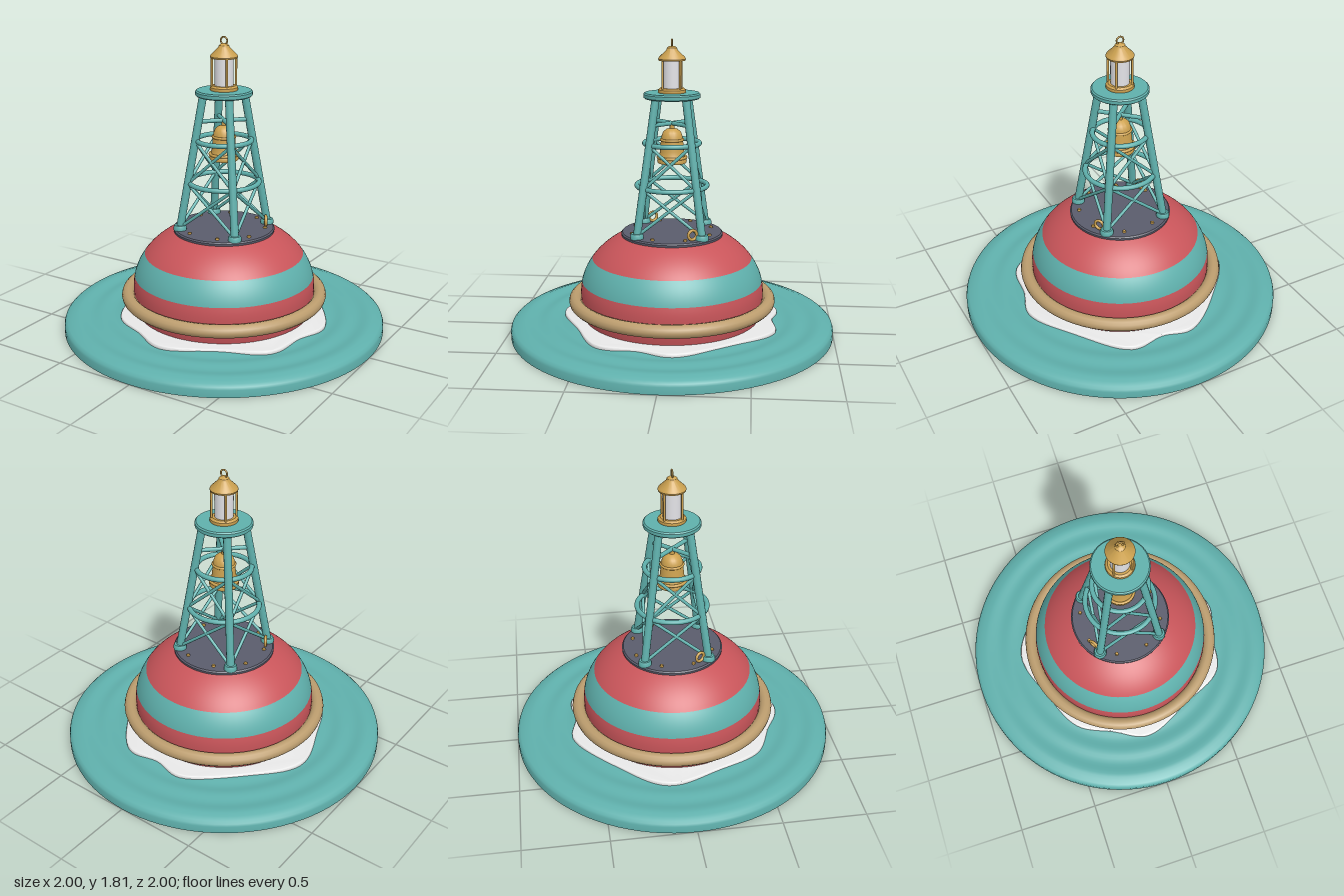
import * as THREE from 'three';
import { toCreasedNormals } from 'three/addons/utils/BufferGeometryUtils.js';

const mat = (name, color) => {
  const m = new THREE.MeshStandardMaterial({ color });
  m.name = name;
  return m;
};

export function createModel() {
  const teal = mat('teal', 0x5fb0ac);
  const red = mat('red', 0xc9555a);
  const slate = mat('slate', 0x5a5c6c);
  const brass = mat('brass', 0xcda250);
  const rope = mat('rope tan', 0xbc9d6e);
  const foam = mat('foam white', 0xeeeeee);
  const glass = mat('lamp glass', 0xe6e6ea);

  const model = new THREE.Group();
  model.name = 'bellBuoy';

  const add = (name, geo, material, x = 0, y = 0, z = 0, parent = model) => {
    const m = new THREE.Mesh(geo, material);
    m.name = name;
    m.position.set(x, y, z);
    parent.add(m);
    return m;
  };
  const lathe = (pts, seg = 48) => toCreasedNormals(
    new THREE.LatheGeometry(pts.map(p => new THREE.Vector2(p[0], p[1])), seg), 0.6);
  const ring = (name, r, tube, y, material, parent = model, seg = 64) => {
    const m = add(name, new THREE.TorusGeometry(r, tube, 12, seg), material, 0, y, 0, parent);
    m.rotation.x = Math.PI / 2;
    return m;
  };
  // Round bar between two points
  const bar = (name, a, b, r, material, parent) => {
    const d = b.clone().sub(a);
    const m = add(name, new THREE.CylinderGeometry(r, r, d.length(), 12), material, 0, 0, 0, parent);
    m.position.copy(a).add(b).multiplyScalar(0.5);
    m.quaternion.setFromUnitVectors(new THREE.Vector3(0, 1, 0), d.normalize());
    return m;
  };

  // Disc of water with soft ripples
  const water = [[0, 0], [1, 0], [1, 0.045], [0.995, 0.06], [0.98, 0.073], [0.95, 0.08]];
  for (let i = 1; i <= 24; i++) {
    const r = 0.95 - i * 0.02;
    water.push([r, 0.083 + 0.005 * Math.sin((0.95 - r) * 42)]);
  }
  water.push([0, 0.083]);
  add('water', lathe(water, 96), teal);

  // Irregular foam collar: [degrees, radius], with z following the angle
  const lobes = [[-5, 0.675], [14, 0.635], [35, 0.69], [62, 0.62], [92, 0.68], [112, 0.63], [134, 0.655],
    [160, 0.62], [190, 0.685], [222, 0.62], [257, 0.67], [274, 0.625], [292, 0.685], [325, 0.62]];
  const outline = new THREE.CatmullRomCurve3(lobes.map(([d, r]) => {
    const a = THREE.MathUtils.degToRad(d);
    return new THREE.Vector3(r * Math.cos(a), -r * Math.sin(a), 0);
  }), true);
  const foamShape = new THREE.Shape(outline.getPoints(112).slice(0, -1).map(p =>
    new THREE.Vector2(p.x, p.y).multiplyScalar(0.985)));
  foamShape.holes.push(new THREE.Path().absarc(0, 0, 0.5, 0, Math.PI * 2, true));
  const foamGeo = new THREE.ExtrudeGeometry(foamShape, {
    depth: 0.012, bevelThickness: 0.01, bevelSize: 0.01, bevelSegments: 3, curveSegments: 48 });
  foamGeo.rotateX(-Math.PI / 2);
  add('foam', toCreasedNormals(foamGeo, 0.7), foam, 0, 0.078, 0);

  // Banded domed hull
  const hull = new THREE.Group();
  hull.name = 'hull';
  model.add(hull);
  const hullRadius = y => y < 0.26 ? 0.565 - 0.02 * ((0.26 - y) / 0.16) ** 2
    : 0.565 * Math.sqrt(1 - ((y - 0.26) / 0.425) ** 2);
  const band = (name, y0, y1, material) => {
    const pts = [];
    for (let i = 0; i <= 12; i++) {
      const y = y0 + (y1 - y0) * i / 12;
      pts.push([hullRadius(y), y]);
    }
    add(name, lathe(pts, 72), material, 0, 0, 0, hull);
  };
  band('lowerBand', 0.07, 0.33, red);
  band('middleBand', 0.33, 0.47, teal);
  band('upperBand', 0.47, 0.615, red);

  // Rope fender around the hull
  ring('ropeFender', 0.6, 0.04, 0.205, rope, model, 80);

  // Deck with bolts and two lifting eyes
  add('deck', lathe([[0, 0.6], [0.295, 0.6], [0.31, 0.612], [0.312, 0.628], [0.304, 0.636], [0, 0.636]], 64), slate);
  for (let i = 0; i < 8; i++) {
    const a = (i + 0.5) * Math.PI / 4;
    add('bolt', new THREE.CylinderGeometry(0.01, 0.012, 0.012, 6), brass,
      0.255 * Math.cos(a), 0.641, 0.255 * Math.sin(a));
  }
  for (const s of [1, -1]) {
    const eye = add('liftingEye', new THREE.TorusGeometry(0.028, 0.009, 10, 28), brass, s * 0.217, 0.67, -s * 0.14);
    eye.rotation.y = Math.atan2(0.217, -0.14);
  }

  // Tower: four leaning legs, hoops and cross braces
  const tower = new THREE.Group();
  tower.name = 'tower';
  model.add(tower);
  const corners = [[1, 1], [-1, 1], [-1, -1], [1, -1]];
  const legPoint = ([sx, sz], y) => {
    const h = 0.197 - 0.107 * (y - 0.63) / 0.83;
    return new THREE.Vector3(sx * h, y, sz * h);
  };
  corners.forEach((c, i) => {
    const next = corners[(i + 1) % 4];
    bar('leg', legPoint(c, 0.625), legPoint(c, 1.465), 0.024, teal, tower);
    const foot = legPoint(c, 0.648);
    add('foot', lathe([[0.04, -0.015], [0.04, 0.006], [0.034, 0.018], [0, 0.018]], 20), teal,
      foot.x, foot.y, foot.z, tower);
    for (const [y0, y1] of [[0.65, 0.925], [0.925, 1.185]]) {
      bar('brace', legPoint(c, y0), legPoint(next, y1), 0.01, teal, tower);
      bar('brace', legPoint(next, y0), legPoint(c, y1), 0.01, teal, tower);
    }
  });
  ring('lowerHoop', 0.214, 0.015, 0.925, teal, tower);
  ring('upperHoop', 0.166, 0.015, 1.185, teal, tower);
  for (const i of [0, 1]) {
    bar('bellBeam', legPoint(corners[i], 1.305), legPoint(corners[i + 2], 1.305), 0.013, teal, tower);
  }
  add('platform', lathe([[0, 1.455], [0.163, 1.455], [0.171, 1.462], [0.171, 1.482],
    [0.163, 1.49], [0, 1.49]], 56), teal, 0, 0, 0, tower);

  // Hanging bell and clapper
  const bell = new THREE.Group();
  bell.name = 'bell';
  model.add(bell);
  add('bellBody', lathe([[0, 1.08], [0.07, 1.062], [0.087, 1.064], [0.09, 1.075], [0.086, 1.09], [0.077, 1.105],
    [0.072, 1.14], [0.068, 1.19], [0.064, 1.225], [0.054, 1.252], [0.036, 1.268], [0.016, 1.275],
    [0.016, 1.3], [0, 1.3]], 40), brass, 0, 0, 0, bell);
  ring('bellLip', 0.084, 0.009, 1.098, brass, bell, 40);
  ring('bellBand', 0.066, 0.008, 1.205, brass, bell, 40);
  add('clapper', new THREE.SphereGeometry(0.02, 16, 12), brass, 0, 1.07, 0, bell);

  // Lantern on the platform
  const lantern = new THREE.Group();
  lantern.name = 'lantern';
  model.add(lantern);
  add('lanternBase', lathe([[0, 1.488], [0.082, 1.488], [0.085, 1.495], [0.083, 1.508],
    [0.07, 1.518], [0, 1.518]], 40), brass, 0, 0, 0, lantern);
  add('lanternGlass', new THREE.CylinderGeometry(0.056, 0.056, 0.168, 36), glass, 0, 1.6, 0, lantern);
  for (const [sx, sz] of corners) {
    add('lanternPost', new THREE.CylinderGeometry(0.007, 0.007, 0.17, 10), brass, sx * 0.052, 1.6, sz * 0.052, lantern);
  }
  add('lanternRoof', lathe([[0, 1.68], [0.08, 1.68], [0.083, 1.69], [0.078, 1.7], [0.034, 1.742],
    [0.03, 1.755], [0.018, 1.764], [0, 1.766]], 40), brass, 0, 0, 0, lantern);
  add('lanternRing', new THREE.TorusGeometry(0.022, 0.005, 10, 28), brass, 0, 1.782, 0, lantern);

  return model;
}
